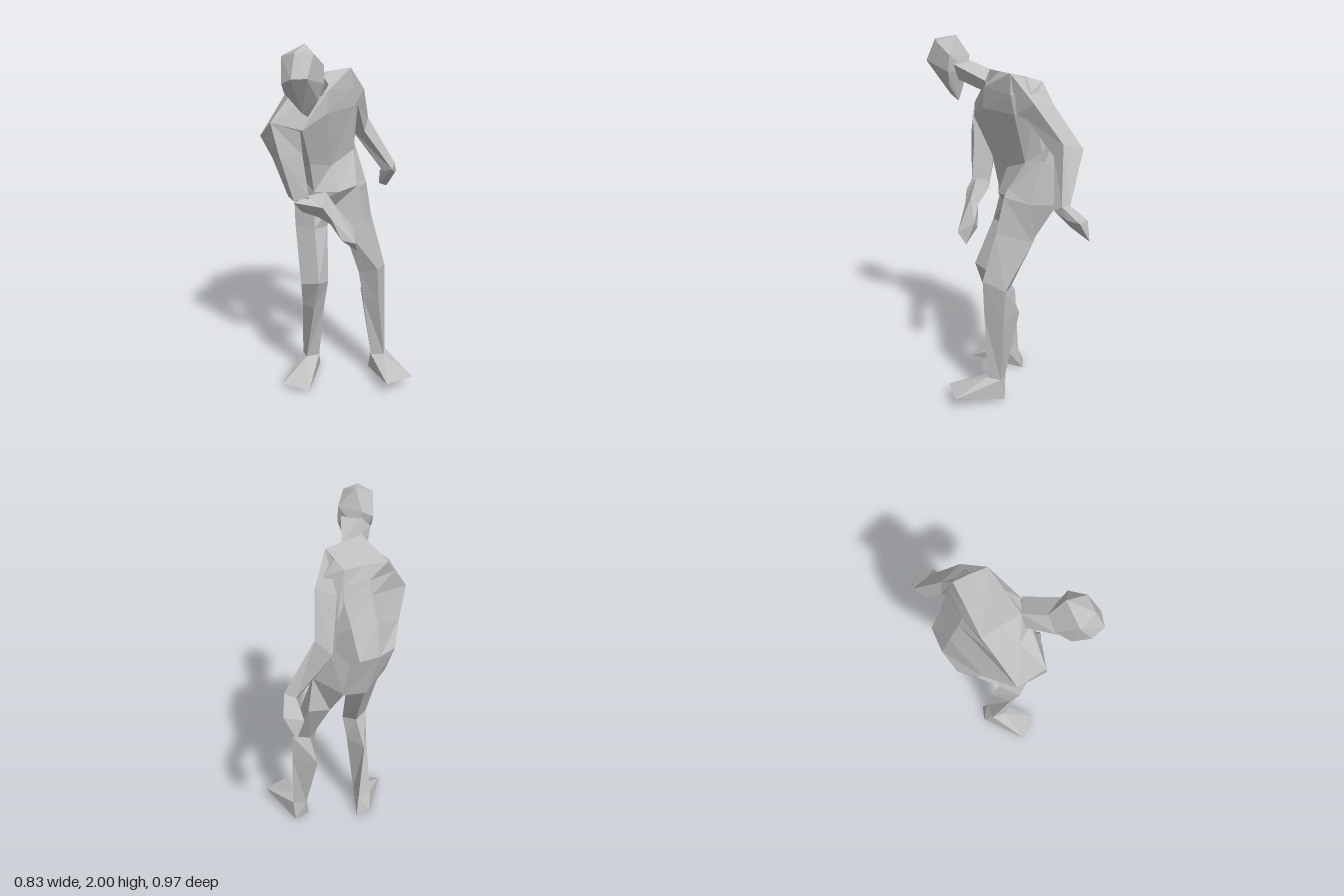
import * as THREE from 'three';
import { ConvexGeometry } from 'three/addons/geometries/ConvexGeometry.js';

const V = (p) => new THREE.Vector3(...p);

// Faceted closed skin through rings of equal point count, turned outward by its volume
function loft(rings) {
  const R = rings.map((r) => r.map(V)), n = R[0].length, tris = [];
  for (let i = 0; i + 1 < R.length; i++) {
    for (let j = 0; j < n; j++) {
      const k = (j + 1) % n;
      tris.push([R[i][j], R[i][k], R[i + 1][k]], [R[i][j], R[i + 1][k], R[i + 1][j]]);
    }
  }
  const cap = (ring, flip) => {
    const c = ring.reduce((s, p) => s.add(p), new THREE.Vector3()).divideScalar(n);
    ring.forEach((p, j) => {
      const q = ring[(j + 1) % n];
      tris.push(flip ? [c, q, p] : [c, p, q]);
    });
  };
  cap(R[0], true);
  cap(R[R.length - 1], false);
  const volume = tris.reduce((s, [a, b, c]) => s + a.dot(b.clone().cross(c)), 0);
  const points = tris.flatMap(([a, b, c]) => (volume < 0 ? [a, c, b] : [a, b, c]));
  const geometry = new THREE.BufferGeometry().setFromPoints(points);
  geometry.computeVertexNormals();
  return geometry;
}

export function createModel() {
  const model = new THREE.Group();
  model.name = 'stoopingFigure';
  const grey = new THREE.MeshStandardMaterial({ color: 0xc0c0c0, flatShading: true });
  grey.name = 'plain grey';
  const add = (name, geometry) => {
    const mesh = new THREE.Mesh(geometry, grey);
    mesh.name = name;
    model.add(mesh);
  };
  const hull = (name, ...points) => add(name, new ConvexGeometry(points.map(V)));

  // Torso rings: left back, mid back, right back, right side, right front, mid front, left front, left side
  add('torso', loft([
    [[.03, 1.11, -.295], [-.11, 1.06, -.235], [-.24, 1.13, -.14], [-.24, 1.1, -.03],
      [-.16, 1.08, .04], [-.03, 1.05, -.02], [.1, 1.13, -.03], [.15, 1.14, -.14]],
    [[-.04, 1.33, -.335], [-.165, 1.31, -.28], [-.27, 1.3, -.2], [-.24, 1.27, -.06],
      [-.14, 1.17, .06], [0, 1.16, .04], [.1, 1.18, -.01], [.11, 1.24, -.18]],
    [[-.01, 1.5, -.275], [-.16, 1.48, -.23], [-.33, 1.4, -.07], [-.25, 1.38, .05],
      [-.16, 1.34, .1], [-.04, 1.3, -.005], [.09, 1.36, -.12], [.09, 1.42, -.21]],
    [[.02, 1.63, -.245], [-.14, 1.62, -.18], [-.42, 1.5, .1], [-.36, 1.6, .235],
      [-.2, 1.55, .21], [-.07, 1.62, .135], [.09, 1.62, -.06], [.12, 1.65, -.17]],
    [[.015, 1.71, -.222], [-.13, 1.69, -.16], [-.315, 1.65, -.005], [-.27, 1.7, .11],
      [-.17, 1.71, .16], [-.06, 1.74, .125], [.08, 1.72, -.04], [.1, 1.74, -.15]],
    [[.01, 1.785, -.2], [-.12, 1.765, -.135], [-.255, 1.74, -.07], [-.21, 1.78, .02],
      [-.165, 1.82, .115], [-.05, 1.825, .04], [.065, 1.83, -.035], [.04, 1.81, -.12]],
  ]));

  // Neck and head, leaning forward
  add('neck', loft([
    [[-.165, 1.82, .11], [-.2, 1.73, .13], [-.09, 1.7, .11], [-.06, 1.77, .12]],
    [[-.2, 1.87, .25], [-.26, 1.79, .28], [-.13, 1.765, .28], [-.1, 1.85, .3]],
  ]));
  hull('head',
    [-.18, 2, .3], [-.23, 1.975, .43], [-.14, 1.965, .4], [-.295, 1.95, .36],
    [-.295, 1.83, .425], [-.25, 1.86, .482], [-.175, 1.86, .47], [-.09, 1.9, .32],
    [-.09, 1.81, .33], [-.2, 1.89, .23], [-.16, 1.81, .235], [-.27, 1.85, .26],
    [-.285, 1.77, .34], [-.12, 1.73, .33], [-.17, 1.64, .29], [-.2, 1.67, .34]);

  // Left arm, swung back
  const leftWrist = [[.335, 1.18, -.3], [.355, 1.21, -.34], [.3, 1.2, -.38], [.285, 1.16, -.33]];
  add('leftArm', loft([
    [[.09, 1.62, -.07], [.065, 1.83, -.036], [.01, 1.785, -.2], [.02, 1.62, -.24]],
    [[.115, 1.6, -.13], [.15, 1.69, -.17], [.06, 1.68, -.26], [.06, 1.55, -.27]],
    [[.165, 1.42, -.28], [.19, 1.49, -.33], [.125, 1.455, -.43], [.09, 1.42, -.35]],
    leftWrist,
  ]));
  hull('leftHand', ...leftWrist, [.378, 1.13, -.435], [.325, 1.02, -.485],
    [.28, 1.12, -.47], [.267, 1.07, -.385], [.36, 1.14, -.37]);

  // Right arm, bent across the body
  add('rightUpperArm', loft([
    [[-.42, 1.5, .1], [-.36, 1.6, .235], [-.21, 1.55, .22], [-.25, 1.42, .08]],
    [[-.36, 1.38, .1], [-.32, 1.43, .25], [-.2, 1.42, .21], [-.24, 1.34, .1]],
    [[-.28, 1.17, .13], [-.25, 1.18, .237], [-.17, 1.19, .22], [-.2, 1.12, .13]],
  ]));
  const rightWrist = [[-.02, 1.12, .2], [-.05, 1.07, .24], [-.055, 1.03, .2], [-.03, 1.08, .16]];
  add('rightForearm', loft([
    [[-.18, 1.19, .19], [-.25, 1.17, .235], [-.21, 1.1, .18], [-.25, 1.16, .13]],
    [[-.08, 1.21, .18], [-.1, 1.14, .24], [-.12, 1.07, .19], [-.09, 1.14, .12]],
    rightWrist,
  ]));
  hull('rightHand', ...rightWrist, [0, .95, .16], [.07, 1, .165],
    [.075, .94, .26], [0, .96, .26], [.087, .875, .21]);

  // Leg rings: inner, front, outer, back
  const leftAnkle = [[.19, .13, .05], [.265, .14, .065], [.28, .135, -.015], [.2, .13, -.03]];
  add('leftLeg', loft([
    [[0, 1.2, -.05], [.095, 1.22, -.03], [.1, 1.38, -.21], [-.02, 1.28, -.31]],
    [[-.03, 1.06, -.02], [.115, 1.17, -.01], [.168, 1.15, -.16], [.03, 1.11, -.29]],
    [[.02, .95, .01], [.15, .97, .03], [.2, .95, -.18], [.08, .94, -.18]],
    [[.115, .66, .02], [.215, .71, .095], [.27, .68, -.04], [.17, .66, -.05]],
    [[.14, .5, .03], [.225, .5, .085], [.275, .5, -.03], [.137, .5, -.1]],
    leftAnkle,
  ]));
  hull('leftFoot', ...leftAnkle, [.18, .015, -.005], [.27, .01, -.035],
    [.415, .075, .22], [.26, .075, .29]);

  const rightAnkle = [[-.12, .13, .03], [-.195, .13, .055], [-.215, .12, -.02], [-.13, .12, -.06]];
  add('rightLeg', loft([
    [[-.04, 1.08, .01], [-.14, 1.12, .05], [-.25, 1.12, -.1], [-.11, 1.07, -.22]],
    [[-.065, .95, .01], [-.14, .96, .09], [-.245, .96, .01], [-.12, .94, -.12]],
    [[-.067, .65, .11], [-.12, .68, .2], [-.22, .65, .14], [-.135, .66, .05]],
    [[-.087, .5, .08], [-.15, .5, .15], [-.212, .5, .09], [-.165, .5, -.035]],
    rightAnkle,
  ]));
  hull('rightFoot', ...rightAnkle, [-.11, 0, -.09], [-.2, .01, -.08],
    [-.34, .03, .185], [-.185, .015, .24]);

  return model;
}
